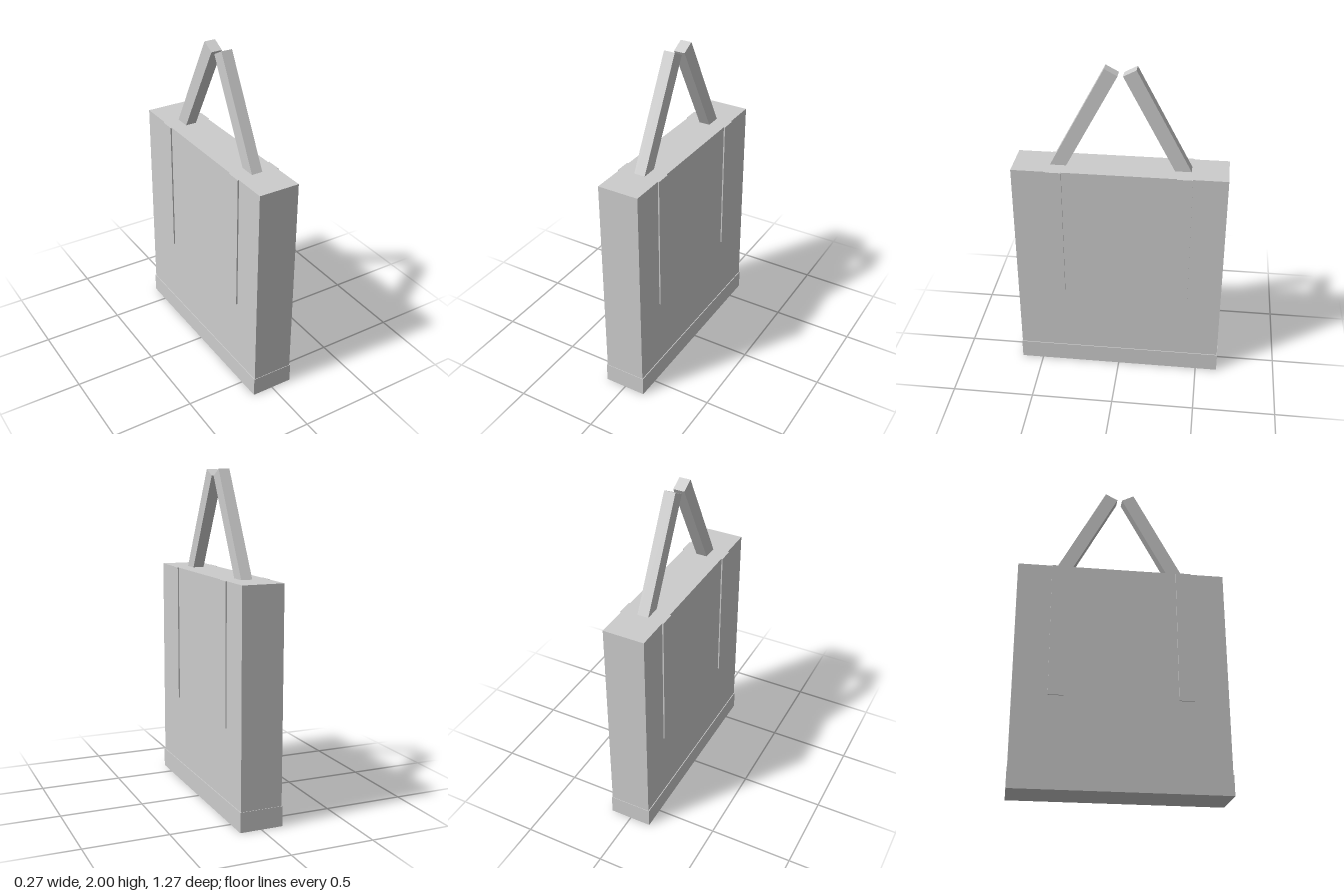
import * as THREE from 'three';

export function createModel() {
  const bag = new THREE.Group();
  bag.name = 'toteBag';
  const fabric = new THREE.MeshStandardMaterial({ color: 0xcccccc });
  fabric.name = 'light grey fabric';

  const box = (name, size, position) => {
    const mesh = new THREE.Mesh(new THREE.BoxGeometry(...size), fabric);
    mesh.name = name;
    mesh.position.set(...position);
    bag.add(mesh);
    return mesh;
  };

  // Bag body and the slightly wider band around its foot
  box('body', [0.252, 1.27, 1.264], [0, 0.755, 0]);
  box('baseBand', [0.262, 0.12, 1.27], [0, 0.06, 0]);

  const lean = 0.49; // handle tilt from vertical
  const length = 0.75; // lower end is sunk into the body
  for (const end of [1, -1]) {
    // Leaning handle bar, top centre near the middle of the bag
    const handle = box('handle', [0.068, length, 0.085], [
      0,
      1.98 - Math.cos(lean) * length / 2,
      end * (0.0525 + Math.sin(lean) * length / 2),
    ]);
    handle.rotation.x = -end * lean;

    // Flat straps sewn on both broad sides
    for (const side of [1, -1]) {
      box(side > 0 ? 'leftStrap' : 'rightStrap', [0.008, 0.84, 0.092], [side * 0.13, 0.97, end * 0.381]);
    }
  }
  return bag;
}
